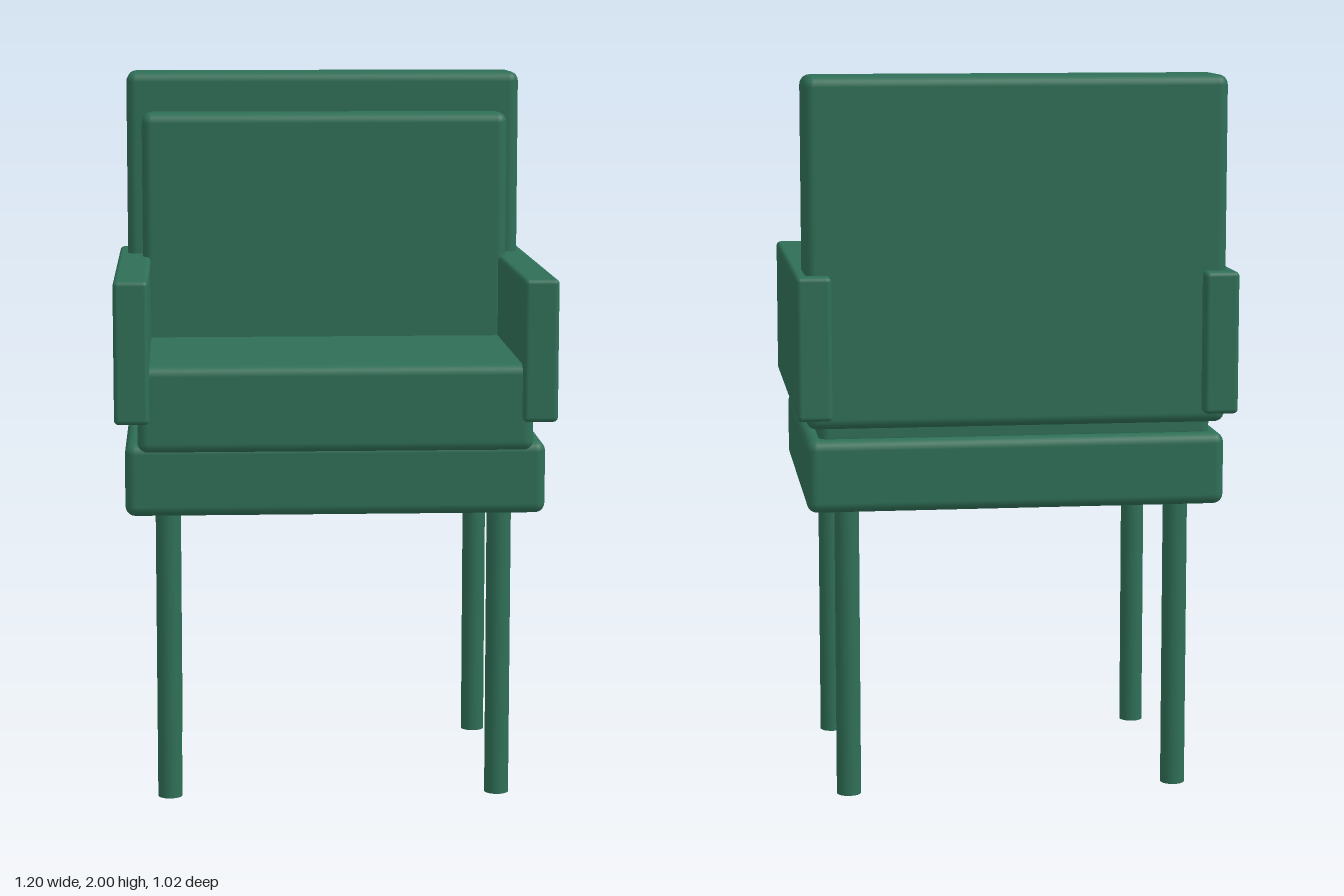
import * as THREE from 'three';
import { RoundedBoxGeometry } from 'three/addons/geometries/RoundedBoxGeometry.js';

export function createModel() {
  const chair = new THREE.Group();
  chair.name = 'armchair';
  const green = new THREE.MeshStandardMaterial({ color: 0x2f6f57 });
  green.name = 'green';

  // Rounded block given by its limits on each axis
  function block(name, [x0, x1], [y0, y1], [z0, z1], radius) {
    const geometry = new RoundedBoxGeometry(x1 - x0, y1 - y0, z1 - z0, 3, radius);
    const mesh = new THREE.Mesh(geometry, green);
    mesh.name = name;
    mesh.position.set((x0 + x1) / 2, (y0 + y1) / 2, (z0 + z1) / 2);
    chair.add(mesh);
  }

  // Seat and back, each with a cushion
  block('seatBase', [-0.575, 0.575], [0.82, 1.02], [-0.465, 0.47], 0.028);
  block('seatCushion', [-0.54, 0.54], [0.995, 1.235], [-0.43, 0.482], 0.028);
  block('backrest', [-0.575, 0.575], [1.05, 2], [-0.468, -0.265], 0.028);
  block('backCushion', [-0.53, 0.53], [1.15, 1.885], [-0.35, -0.155], 0.028);

  // Armrests
  block('leftArm', [0.507, 0.602], [1.08, 1.47], [-0.51, 0.51], 0.013);
  block('rightArm', [-0.602, -0.507], [1.08, 1.47], [-0.51, 0.51], 0.013);

  // Four round legs
  const legGeometry = new THREE.CylinderGeometry(0.034, 0.034, 0.85, 24);
  for (const [side, x] of [['left', 0.46], ['right', -0.46]]) {
    for (const [end, z] of [['Front', 0.342], ['Back', -0.342]]) {
      const leg = new THREE.Mesh(legGeometry, green);
      leg.name = `${side}${end}Leg`;
      leg.position.set(x, 0.425, z);
      chair.add(leg);
    }
  }
  return chair;
}
